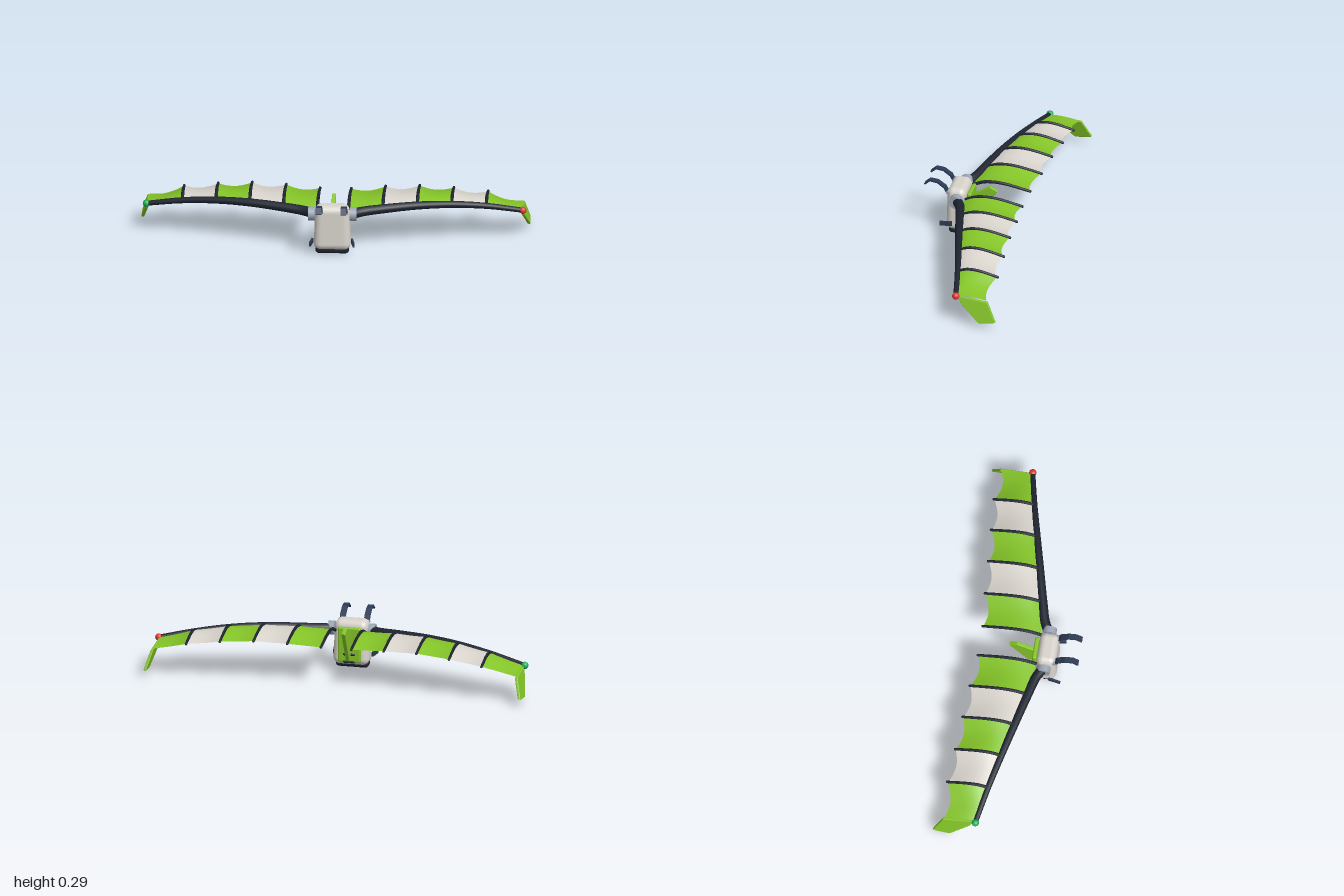
import * as THREE from 'three';
import { RoundedBoxGeometry } from 'three/addons/geometries/RoundedBoxGeometry.js';

const mat = (color, opts = {}) => new THREE.MeshStandardMaterial({ color, ...opts });
const V = (x, y, z) => new THREE.Vector3(x, y, z);

export function createModel() {
  const model = new THREE.Group();
  model.name = 'wingPack';
  const shell = mat(0xd8d4cc), dark = mat(0x1e2430), strap = mat(0x2c3a54);
  const green = mat(0x84c428), metal = mat(0x9ca6b4), red = mat(0xe03a30), lamp = mat(0x20b058);
  const greenSkin = mat(0x84c428, { side: THREE.DoubleSide });
  const whiteSkin = mat(0xd8d4cc, { side: THREE.DoubleSide });

  const add = (name, geo, material, x = 0, y = 0, z = 0) => {
    const m = new THREE.Mesh(geo, material);
    m.name = name;
    m.position.set(x, y, z);
    model.add(m);
    return m;
  };

  // Plate drawn as [z, y] points, given thickness along x
  const plate = (pts, thick, bevel = 0.003) => {
    const shape = new THREE.Shape(pts.map(([z, y]) => new THREE.Vector2(z, y)));
    const depth = thick - 2 * bevel;
    const geo = new THREE.ExtrudeGeometry(shape, {
      depth, bevelEnabled: bevel > 0, bevelSize: bevel, bevelOffset: -bevel, bevelThickness: bevel, bevelSegments: 2,
    });
    return geo.translate(0, 0, -depth / 2).rotateY(-Math.PI / 2);
  };

  // Tube whose radius runs from r0 to r1
  const taperTube = (curve, segs, r0, r1, sides) => {
    const geo = new THREE.TubeGeometry(curve, segs, 1, sides, false);
    const pos = geo.attributes.position, v = V(0, 0, 0);
    for (let i = 0; i < pos.count; i++) {
      const t = Math.floor(i / (sides + 1)) / segs;
      const c = curve.getPointAt(t);
      v.fromBufferAttribute(pos, i).sub(c).multiplyScalar(THREE.MathUtils.lerp(r0, r1, t)).add(c);
      pos.setXYZ(i, v.x, v.y, v.z);
    }
    return geo;
  };

  // Body: rounded box, drawn in towards the top
  const body = new RoundedBoxGeometry(0.192, 0.238, 0.108, 6, 0.036);
  const bp = body.attributes.position;
  for (let i = 0; i < bp.count; i++) {
    const k = 1 - 0.1 * (bp.getY(i) / 0.238 + 0.5);
    bp.setX(i, bp.getX(i) * k);
    bp.setZ(i, bp.getZ(i) * k);
  }
  body.computeVertexNormals();
  add('body', body, shell, 0, 0.139, 0.138);
  add('bottomCap', new RoundedBoxGeometry(0.172, 0.042, 0.062, 4, 0.018), dark, 0, 0.021, 0.147);

  // Back plate with fin and two crossbars
  add('backPlate', new RoundedBoxGeometry(0.12, 0.185, 0.022, 3, 0.008), green, 0, 0.137, 0.075);
  add('backFin', plate([[0.07, 0.062], [0.036, 0.06], [-0.062, 0.235], [-0.022, 0.256], [0.07, 0.2]], 0.02), green);
  for (const y of [0.087, 0.047]) {
    add('backBar', new THREE.CapsuleGeometry(0.006, 0.05, 4, 8).rotateZ(Math.PI / 2), dark, 0, y, 0.063);
  }

  // Rib stations: x, lead y, lead z, trailing y, trailing z
  const ribs = [
    [0.08, 0.205, 0.09, 0.208, -0.21],
    [0.255, 0.213, 0.07, 0.218, -0.225],
    [0.43, 0.22, 0.03, 0.222, -0.235],
    [0.605, 0.213, -0.012, 0.209, -0.247],
    [0.78, 0.192, -0.053, 0.187, -0.26],
    [0.957, 0.157, -0.088, 0.145, -0.25],
  ];
  const camber = [0.03, 0.03, 0.028, 0.026, 0.022, 0.006];
  const ribPoint = (i, t) => {
    const [x, y0, z0, y1, z1] = ribs[i];
    const rise = camber[i] * Math.sin(Math.PI * Math.pow(t, 0.75));
    return V(x, y0 + (y1 - y0) * t + rise, z0 + (z1 - z0) * t);
  };

  // Cloth between two ribs, sagging and scalloped at its rear edge
  const panel = (i, s) => {
    const n = 10, pos = [], idx = [];
    for (let a = 0; a <= n; a++) {
      for (let b = 0; b <= n; b++) {
        const u = a / n, t = b / n, hang = Math.sin(Math.PI * u);
        const p = ribPoint(i, t).lerp(ribPoint(i + 1, t), u);
        pos.push(s * p.x, p.y - 0.01 * hang * Math.sin(Math.PI * t * 0.7), p.z + 0.022 * hang * t * t);
        if (a < n && b < n) {
          const k = a * (n + 1) + b, m = k + n + 1;
          if (s > 0) idx.push(k, m, k + 1, m, m + 1, k + 1);
          else idx.push(k, k + 1, m, m, k + 1, m + 1);
        }
      }
    }
    const geo = new THREE.BufferGeometry();
    geo.setAttribute('position', new THREE.Float32BufferAttribute(pos, 3));
    geo.setIndex(idx);
    geo.computeVertexNormals();
    return geo;
  };

  for (const s of [1, -1]) {
    const side = s > 0 ? 'left' : 'right';

    // Shoulder socket and leading spar
    add(side + 'Socket', new THREE.CylinderGeometry(0.036, 0.036, 0.034, 10).rotateZ(Math.PI / 2), metal, s * 0.107, 0.204, 0.13);
    const spar = new THREE.CatmullRomCurve3([
      [0.1, 0.204, 0.128], [0.15, 0.207, 0.1], [0.255, 0.213, 0.072], [0.43, 0.218, 0.03],
      [0.605, 0.211, -0.012], [0.78, 0.19, -0.053], [0.965, 0.155, -0.09],
    ].map(([x, y, z]) => V(s * x, y, z)));
    add(side + 'Spar', taperTube(spar, 40, 0.026, 0.013, 12), dark);
    add(side + 'TipLight', new THREE.SphereGeometry(0.019, 20, 14), s > 0 ? red : lamp, s * 0.966, 0.155, -0.09);

    // Cloth panels in alternating colours, with ribs on their seams
    for (let i = 0; i < 5; i++) {
      add(side + 'Panel', panel(i, s), i % 2 ? whiteSkin : greenSkin);
      const pts = [0, 0.2, 0.4, 0.6, 0.8, 1.02].map((t) => {
        const p = ribPoint(i, Math.min(t, 1));
        return V(s * p.x, p.y + 0.001, t > 1 ? p.z - 0.004 : p.z);
      });
      add(side + 'Rib', taperTube(new THREE.CatmullRomCurve3(pts), 20, 0.009, 0.007, 8), dark);
      add(side + 'RibEnd', new THREE.SphereGeometry(0.007, 8, 6), dark, ...pts[5].toArray());
    }

    // Winglet, leaning outwards as it drops
    const winglet = plate([[-0.1, 0.155], [-0.257, 0.14], [-0.305, 0.043], [-0.292, 0.037], [-0.218, 0.029], [-0.12, 0.116]], 0.015);
    const wp = winglet.attributes.position;
    for (let i = 0; i < wp.count; i++) wp.setX(i, wp.getX(i) + s * (0.992 - 0.28 * (wp.getY(i) - 0.029)));
    winglet.computeVertexNormals();
    add(side + 'Winglet', winglet, green);

    // Shoulder hook, its anchor and the waist bracket
    const hook = [[0.178, 0.228], [0.196, 0.262], [0.236, 0.289], [0.278, 0.294], [0.307, 0.269],
      [0.302, 0.264], [0.276, 0.286], [0.239, 0.281], [0.204, 0.256], [0.187, 0.225]];
    add(side + 'Hook', plate(hook, 0.03, 0), strap, s * 0.064);
    add(side + 'HookAnchor', new THREE.CylinderGeometry(0.01, 0.01, 0.034, 8).rotateZ(Math.PI / 2), metal, s * 0.064, 0.233, 0.182);
    const bracket = add(side + 'WaistBracket', new THREE.BoxGeometry(0.009, 0.024, 0.064), strap, s * 0.107, 0.067, 0.186);
    bracket.rotation.y = s * 0.18;
  }
  return model;
}
